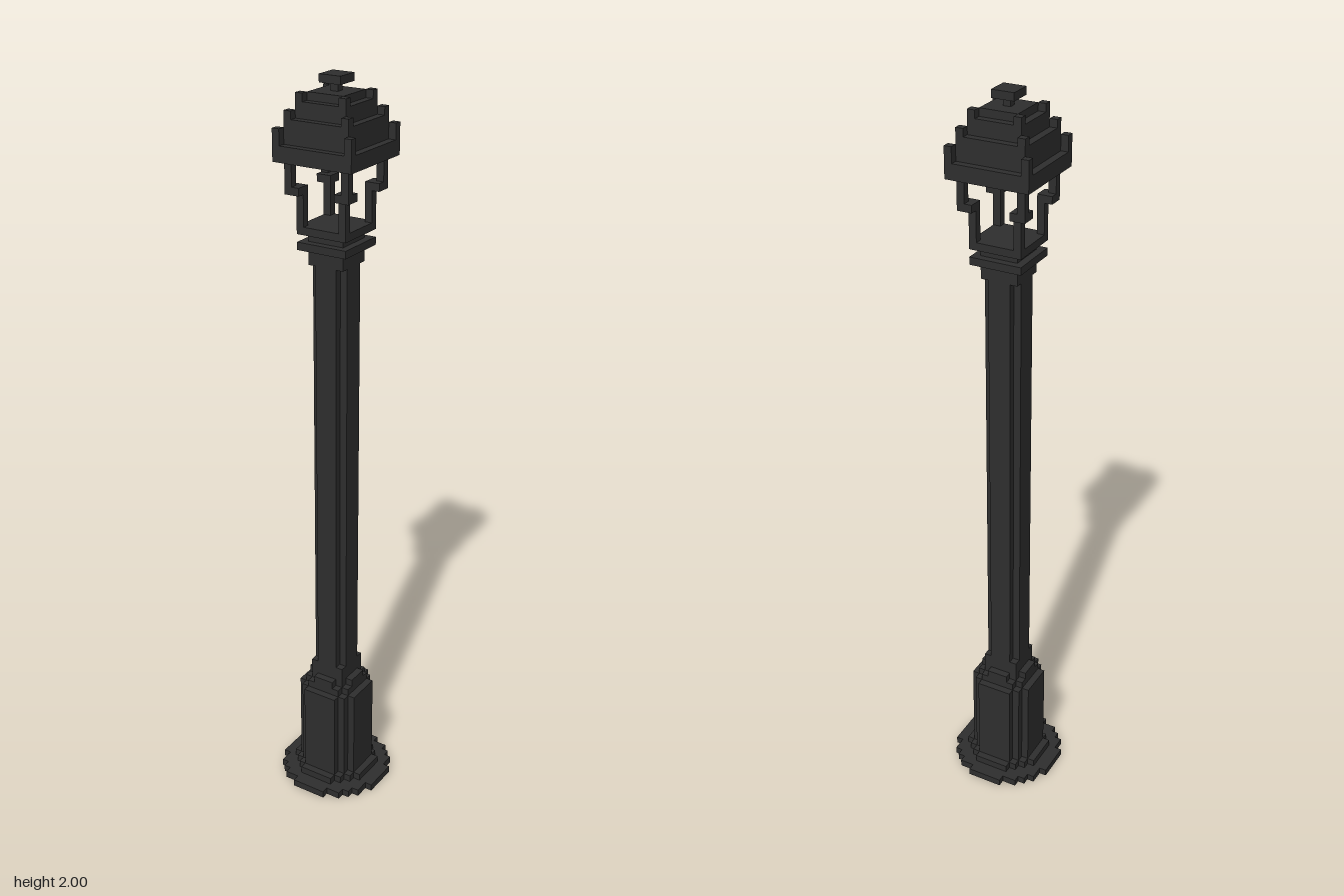
import * as THREE from 'three';

export function createModel() {
  const model = new THREE.Group();
  model.name = 'streetLamp';
  const iron = new THREE.MeshStandardMaterial({ color: 0x2e2e2e });
  iron.name = 'dark iron';

  function add(parent, name, geometry) {
    const mesh = new THREE.Mesh(geometry, iron);
    mesh.name = name;
    parent.add(mesh);
    return mesh;
  }

  // Square block centred on (x, z), from y0 to y1
  function block(parent, name, half, y0, y1, x = 0, z = 0) {
    const mesh = add(parent, name, new THREE.BoxGeometry(half * 2, y1 - y0, half * 2));
    mesh.position.set(x, (y0 + y1) / 2, z);
    return mesh;
  }

  // Slab with stair-stepped corners; steps list the outer corners of one quadrant, from +x round to +z
  function stepped(parent, name, steps, y0, y1) {
    const quarter = [];
    steps.forEach(([x, z], i) => {
      if (i > 0) quarter.push([x, steps[i - 1][1]]);
      quarter.push([x, z]);
    });
    const points = [];
    for (let q = 0; q < 4; q++) {
      for (const [x, z] of quarter) {
        points.push(new THREE.Vector2(x, z).rotateAround(new THREE.Vector2(), q * Math.PI / 2));
      }
    }
    const geometry = new THREE.ExtrudeGeometry(new THREE.Shape(points), { depth: y1 - y0, bevelEnabled: false });
    geometry.rotateX(-Math.PI / 2);
    add(parent, name, geometry).position.y = y0;
  }

  // The same small block on all four corners
  function corners(parent, name, inner, outer, y0, y1) {
    const mid = (inner + outer) / 2;
    for (const sx of [-1, 1]) {
      for (const sz of [-1, 1]) block(parent, name, (outer - inner) / 2, y0, y1, sx * mid, sz * mid);
    }
  }

  // Foot and pedestal
  const base = new THREE.Group();
  base.name = 'base';
  model.add(base);
  stepped(base, 'footPlate', [[0.15, 0.05], [0.13, 0.09], [0.11, 0.11], [0.09, 0.13], [0.05, 0.15]], 0, 0.02);
  stepped(base, 'footStep', [[0.11, 0.05], [0.09, 0.07], [0.07, 0.09], [0.05, 0.11]], 0.02, 0.04);
  stepped(base, 'pedestal', [[0.09, 0.05], [0.07, 0.07], [0.05, 0.09]], 0.04, 0.3);
  stepped(base, 'pedestalTop', [[0.07, 0.05], [0.05, 0.07]], 0.3, 0.32);
  stepped(base, 'pedestalNeck', [[0.07, 0.03], [0.05, 0.05], [0.03, 0.07]], 0.32, 0.34);

  // Notched shaft between two square ends
  const pole = new THREE.Group();
  pole.name = 'pole';
  model.add(pole);
  block(pole, 'lowerPoleEnd', 0.05, 0.34, 0.38);
  stepped(pole, 'shaft', [[0.05, 0.03], [0.03, 0.05]], 0.38, 1.54);
  block(pole, 'upperPoleEnd', 0.05, 1.54, 1.58);
  block(pole, 'collar', 0.07, 1.58, 1.6);

  // Open lantern frame
  const lantern = new THREE.Group();
  lantern.name = 'lantern';
  model.add(lantern);
  block(lantern, 'lanternNeck', 0.05, 1.6, 1.62);
  block(lantern, 'lanternFloor', 0.07, 1.62, 1.64);
  corners(lantern, 'lowerPost', 0.05, 0.07, 1.64, 1.72);
  corners(lantern, 'postElbow', 0.05, 0.09, 1.72, 1.74);
  corners(lantern, 'upperPost', 0.07, 0.09, 1.74, 1.8);

  // Tiered roof: each tier is a full slab, then a smaller slab with raised corners
  const roof = new THREE.Group();
  roof.name = 'roof';
  model.add(roof);
  for (const [half, y0, y1, y2] of [
    [0.11, 1.8, 1.84, 1.88],
    [0.09, 1.88, 1.9, 1.92],
    [0.07, 1.92, 1.94, 1.96],
  ]) {
    block(roof, 'roofTier', half, y0, y1);
    block(roof, 'roofTierTop', half - 0.02, y1, y2);
    corners(roof, 'roofRidge', half - 0.02, half, y1, y2);
  }
  block(roof, 'finialStem', 0.01, 1.96, 1.98);
  block(roof, 'finialCap', 0.03, 1.98, 2);

  return model;
}
